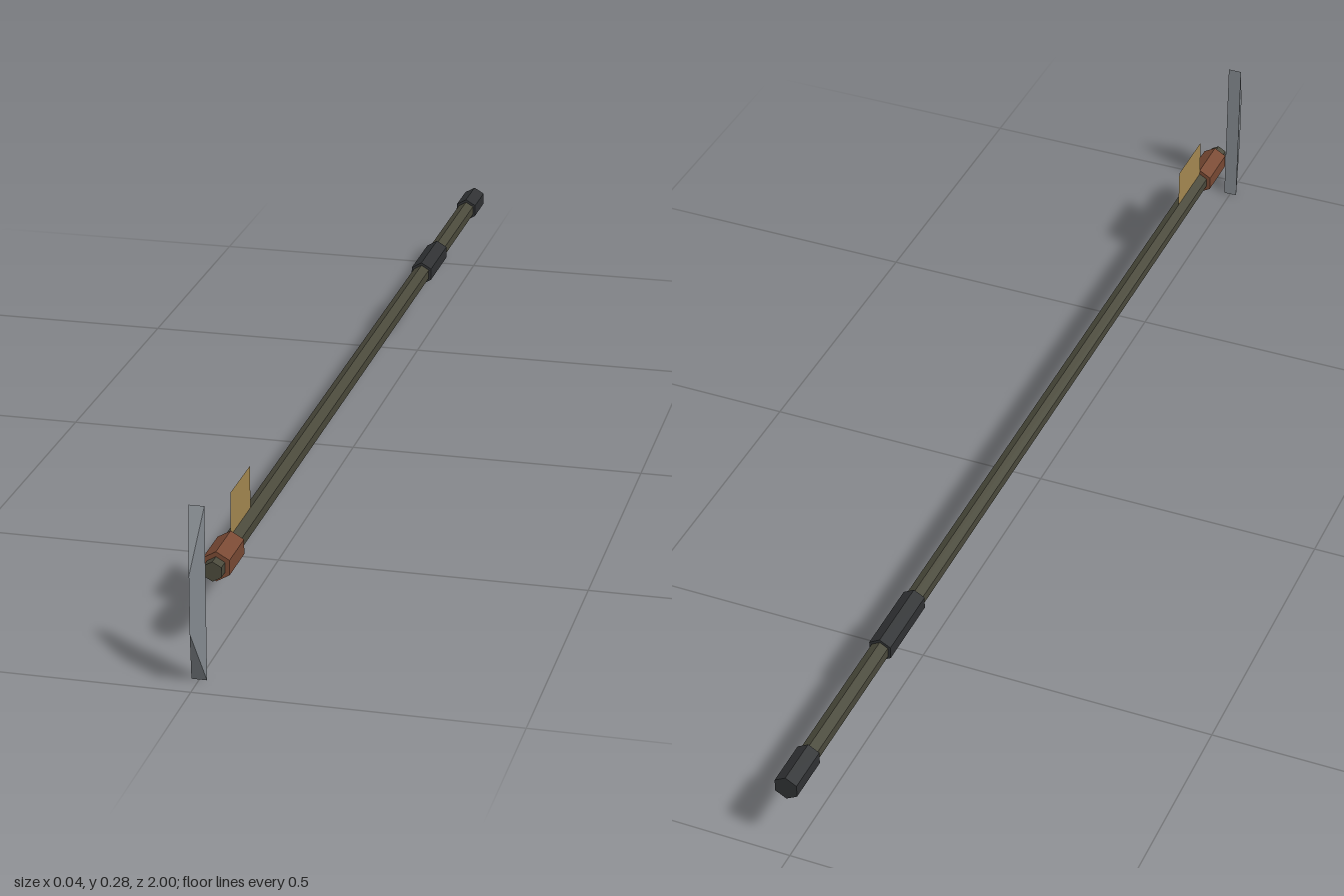
import * as THREE from 'three';
import { ConvexGeometry } from 'three/addons/geometries/ConvexGeometry.js';

const AXIS_Y = 0.14;

function paint(color, side = THREE.FrontSide) {
  return new THREE.MeshStandardMaterial({ color, flatShading: true, side });
}

export function createModel() {
  const model = new THREE.Group();
  const olive = paint(0x4b4a3c);
  const black = paint(0x303234);
  const copper = paint(0x7a4a34);
  const steel = paint(0x858b90);
  const cloth = paint(0xa68a52, THREE.DoubleSide);

  function add(name, geometry, material) {
    const mesh = new THREE.Mesh(geometry, material);
    mesh.name = name;
    model.add(mesh);
    return mesh;
  }

  // Six-sided rod along z with a corner pointing up
  function hexRod(name, radius, back, front, material) {
    const geometry = new THREE.CylinderGeometry(radius, radius, front - back, 6);
    geometry.rotateX(Math.PI / 2);
    add(name, geometry, material).position.set(0, AXIS_Y, (front + back) / 2);
  }

  hexRod('shaft', 0.016, -0.99, 0.877, olive);
  hexRod('endCap', 0.021, -1, -0.92, black);
  hexRod('grip', 0.021, -0.66, -0.528, black);
  hexRod('collar', 0.024, 0.775, 0.857, copper);

  // Thin pennant standing on the shaft
  const pennant = new THREE.PlaneGeometry(0.112, 0.075);
  pennant.rotateY(Math.PI / 2);
  add('pennant', pennant, cloth).position.set(0, 0.188, 0.719);

  // Detached blade: flat rectangular back, short sharp ridge in front
  const corners = [];
  for (const s of [-1, 1]) {
    corners.push(new THREE.Vector3(-0.012, s * 0.139, 0.955));
    corners.push(new THREE.Vector3(0.012, s * 0.139, 0.955));
    corners.push(new THREE.Vector3(0, s * 0.046, 1));
  }
  add('blade', new ConvexGeometry(corners), steel).position.y = 0.139;

  return model;
}
